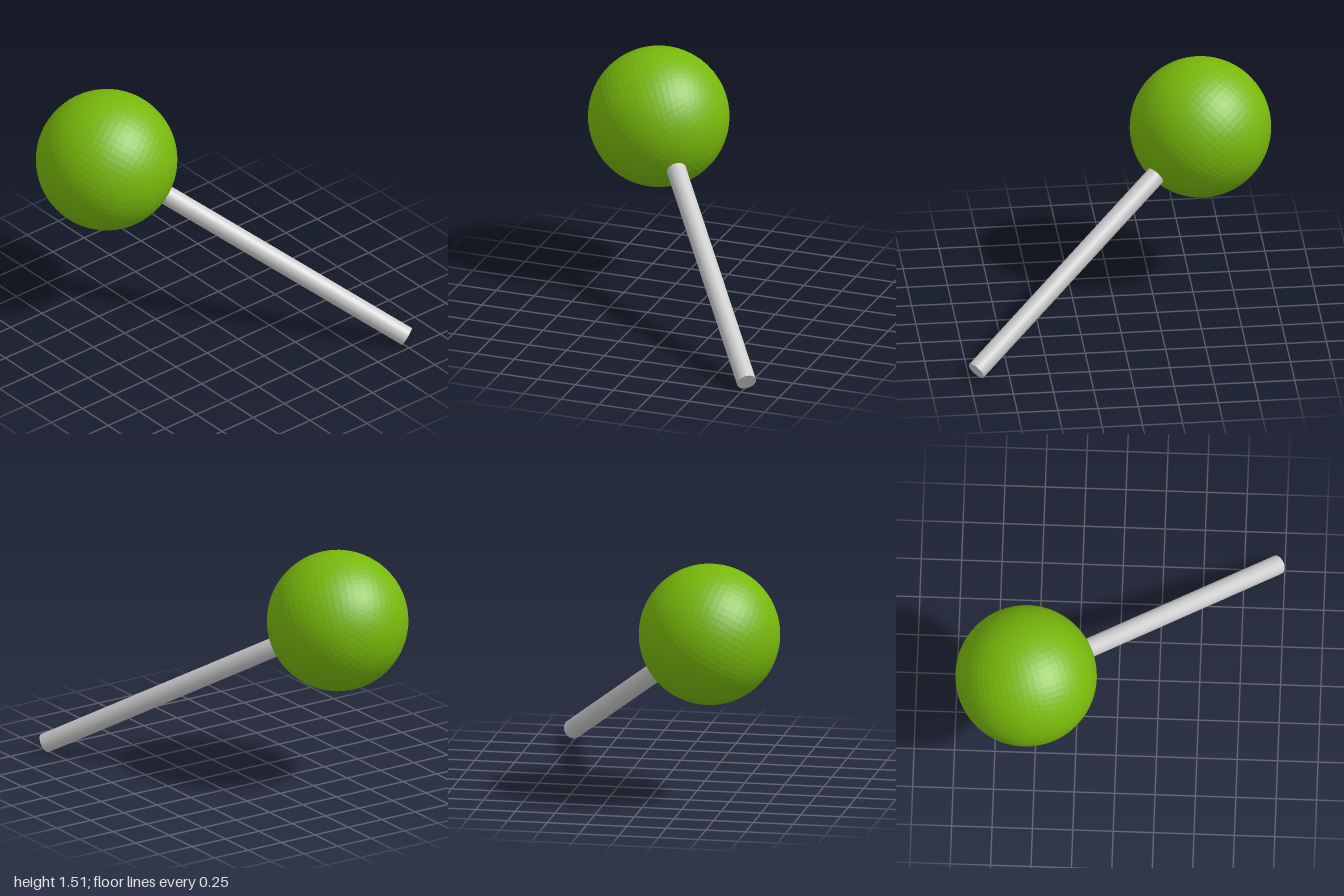
import * as THREE from 'three';

export function createModel() {
  const group = new THREE.Group();
  const center = new THREE.Vector3(-0.388, 1.08, -0.561);
  const tip = new THREE.Vector3(0.77, 0.058, 0.956);
  const radius = 0.438;
  const axis = center.clone().sub(tip).normalize();
  const tilt = new THREE.Quaternion().setFromUnitVectors(new THREE.Vector3(0, 1, 0), axis);

  // Faceted ball: a subdivided cube with its vertices pushed out to a sphere
  const ballGeometry = new THREE.BoxGeometry(2, 2, 2, 16, 16, 16);
  const pos = ballGeometry.attributes.position;
  const v = new THREE.Vector3();
  for (let i = 0; i < pos.count; i++) {
    v.fromBufferAttribute(pos, i);
    v.set(...v.toArray().map((c) => Math.tan((c * Math.PI) / 4))).setLength(radius);
    pos.setXYZ(i, v.x, v.y, v.z);
  }
  ballGeometry.computeVertexNormals();
  const ball = new THREE.Mesh(ballGeometry, new THREE.MeshStandardMaterial({ color: 0x78b80c, flatShading: true }));
  ball.name = 'ball';
  ball.position.copy(center);
  ball.quaternion.copy(tilt);
  group.add(ball);

  // Straight stick, its inner end sunk slightly into the ball
  const length = tip.distanceTo(center) - radius + 0.03;
  const stick = new THREE.Mesh(
    new THREE.CylinderGeometry(0.061, 0.061, length, 32),
    new THREE.MeshStandardMaterial({ color: 0xcccccc })
  );
  stick.name = 'stick';
  stick.position.copy(tip).addScaledVector(axis, length / 2);
  stick.quaternion.copy(tilt);
  group.add(stick);

  return group;
}
